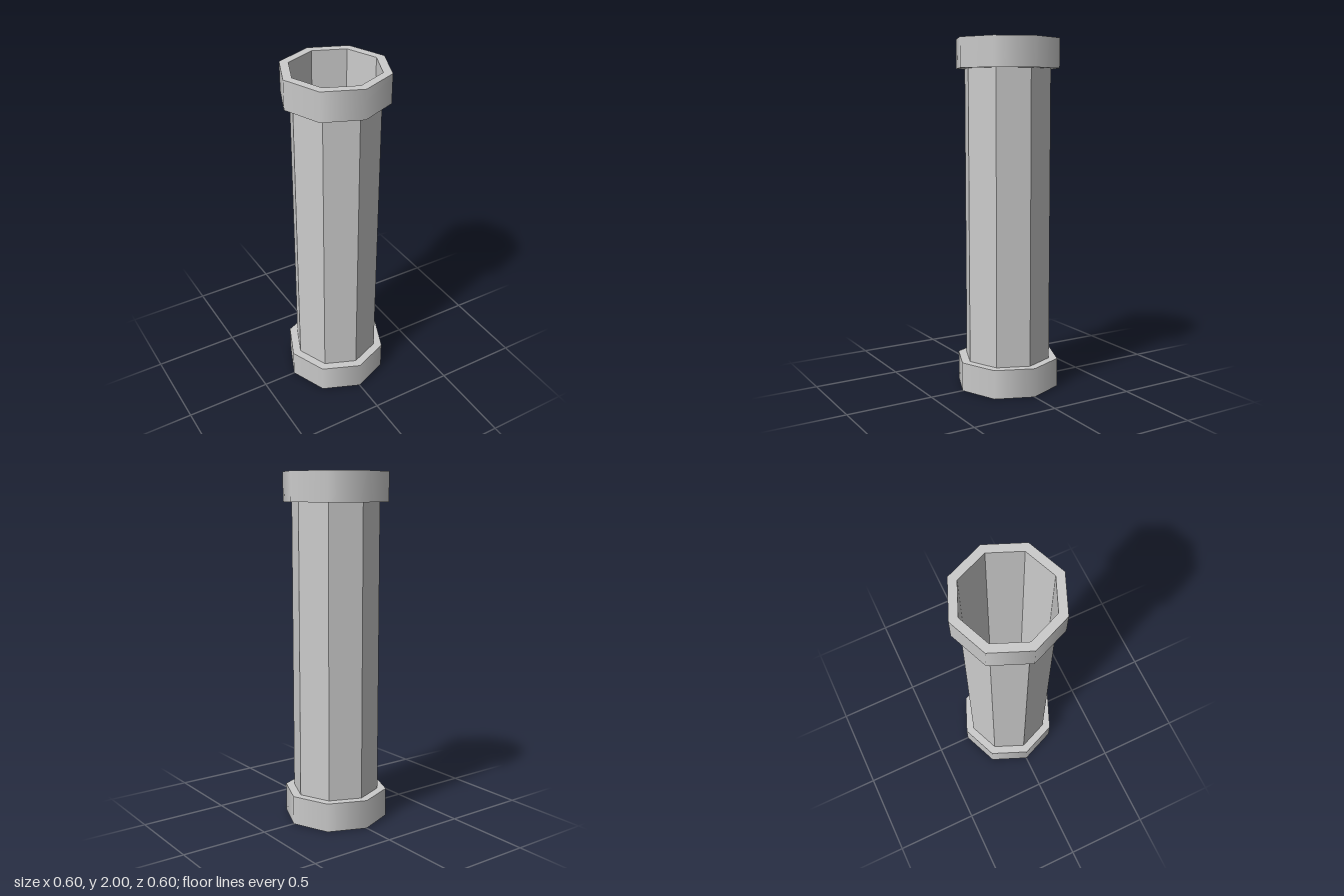
import * as THREE from 'three';

const SIDES = 8, HEIGHT = 2, TUBE_R = 0.25, COLLAR_R = 0.3, COLLAR_H = 0.166;

export function createModel() {
  const model = new THREE.Group();
  model.name = 'collaredTube';
  const flat = new THREE.MeshStandardMaterial({ color: 0xcccccc, flatShading: true, side: THREE.DoubleSide });
  const smooth = new THREE.MeshStandardMaterial({ color: 0xcccccc, side: THREE.DoubleSide });

  const add = (parent, name, geometry, material, y) => {
    const mesh = new THREE.Mesh(geometry, material);
    mesh.name = name;
    mesh.position.y = y;
    parent.add(mesh);
    return mesh;
  };

  // Thin octagonal tube, open at both ends; it also lines the collars
  add(model, 'tubeWall', new THREE.CylinderGeometry(TUBE_R, TUBE_R, HEIGHT, SIDES, 1, true), flat, HEIGHT / 2);

  // Collar at each end: smooth outer band closed by two flat rims
  const band = new THREE.CylinderGeometry(COLLAR_R, COLLAR_R, COLLAR_H, SIDES, 1, true);
  const rim = new THREE.RingGeometry(TUBE_R, COLLAR_R, SIDES);
  for (const [name, y] of [['bottomCollar', COLLAR_H / 2], ['topCollar', HEIGHT - COLLAR_H / 2]]) {
    const collar = new THREE.Group();
    collar.name = name;
    collar.position.y = y;
    add(collar, 'collarBand', band, smooth, 0);
    add(collar, 'upperRim', rim, flat, COLLAR_H / 2).rotation.x = -Math.PI / 2;
    add(collar, 'lowerRim', rim, flat, -COLLAR_H / 2).rotation.x = Math.PI / 2;
    model.add(collar);
  }
  return model;
}
